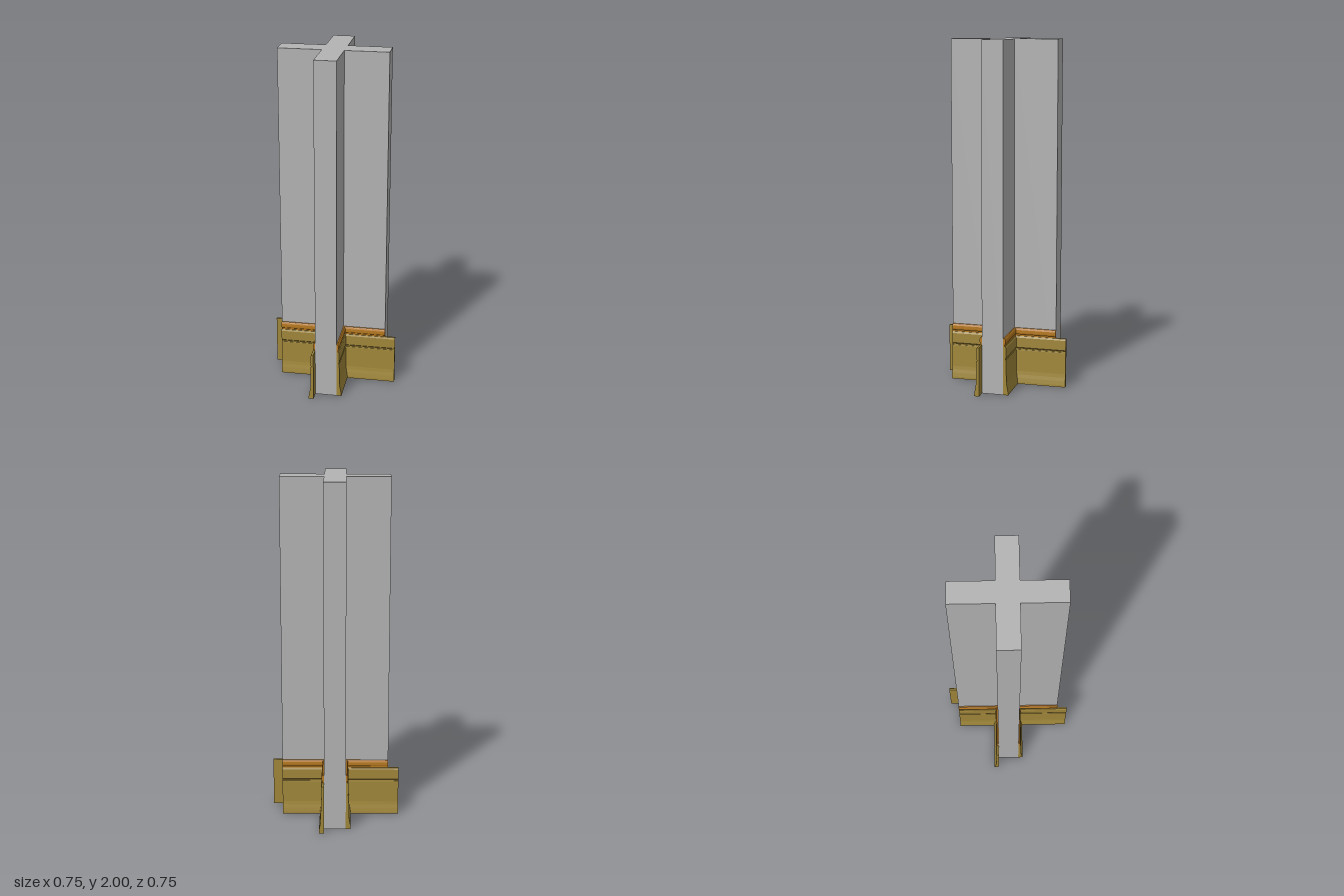
import * as THREE from 'three';

const HALF = 0.0625;   // half the wall thickness
const ARM = 0.3125;    // length of each wall arm from the centre
const LONG = 0.374;    // reach of the longer skirting leg
const HEIGHT = 2;

const flat = (name, color) => {
  const m = new THREE.MeshStandardMaterial({ color });
  m.name = name;
  return m;
};

// Profiles as [distance from wall, height]
const skirtingProfile = [
  [0, 0], [0.029, 0], [0.0285, 0.012], [0.025, 0.035], [0.021, 0.055], [0.0185, 0.075],
  [0.0165, 0.2], [0.0155, 0.205], [0.012, 0.205], [0.012, 0.212], [0.0165, 0.217],
  [0.0165, 0.275], [0.012, 0.285], [0, 0.285],
];
const railProfile = [
  [0, 0.285], [0.008, 0.285], [0.008, 0.294], [0.012, 0.298], [0.0135, 0.304],
  [0.0135, 0.32], [0.011, 0.327], [0.007, 0.331], [0, 0.331],
];

// One trim leg along x or z, mitred where it meets the inner corner
function legGeometry(profile, end, alongX) {
  const shape = new THREE.Shape(profile.map(([d, y]) => new THREE.Vector2(d, y)));
  const geo = new THREE.ExtrudeGeometry(shape, { depth: 1, steps: 1, bevelEnabled: false });
  const pos = geo.attributes.position;
  for (let i = 0; i < pos.count; i++) {
    const across = HALF + pos.getX(i);
    const t = alongX ? 1 - pos.getZ(i) : pos.getZ(i);
    const along = across + (end - across) * t;
    pos.setXYZ(i, alongX ? along : across, pos.getY(i), alongX ? across : along);
  }
  geo.computeVertexNormals();
  return geo;
}

export function createModel() {
  const model = new THREE.Group();
  model.name = 'crossWallWithSkirting';
  const grey = flat('wallGrey', 0xb3b3b3);
  const gold = flat('skirtingGold', 0xa0873a);
  const orange = flat('railOrange', 0xb87a20);

  const add = (parent, name, geo, mat) => {
    const mesh = new THREE.Mesh(geo, mat);
    mesh.name = name;
    parent.add(mesh);
  };

  // Cross-shaped wall: a quarter outline turned four times
  const outline = [];
  for (let k = 0; k < 4; k++) {
    for (const [x, y] of [[ARM, -HALF], [ARM, HALF], [HALF, HALF]]) {
      outline.push(new THREE.Vector2(x, y).rotateAround(new THREE.Vector2(), k * Math.PI / 2));
    }
  }
  const wall = new THREE.ExtrudeGeometry(new THREE.Shape(outline), { depth: HEIGHT, bevelEnabled: false });
  wall.rotateX(-Math.PI / 2);
  add(model, 'crossWall', wall, grey);

  // Skirting and rail in each inner corner, with one longer skirting leg
  const skirtingX = legGeometry(skirtingProfile, LONG, true);
  const skirtingZ = legGeometry(skirtingProfile, ARM, false);
  const railX = legGeometry(railProfile, ARM, true);
  const railZ = legGeometry(railProfile, ARM, false);
  for (let k = 0; k < 4; k++) {
    const corner = new THREE.Group();
    corner.name = 'cornerTrim' + (k + 1);
    corner.rotation.y = k * Math.PI / 2;
    add(corner, 'longSkirting', skirtingX, gold);
    add(corner, 'shortSkirting', skirtingZ, gold);
    add(corner, 'longSideRail', railX, orange);
    add(corner, 'shortSideRail', railZ, orange);
    model.add(corner);
  }
  return model;
}
